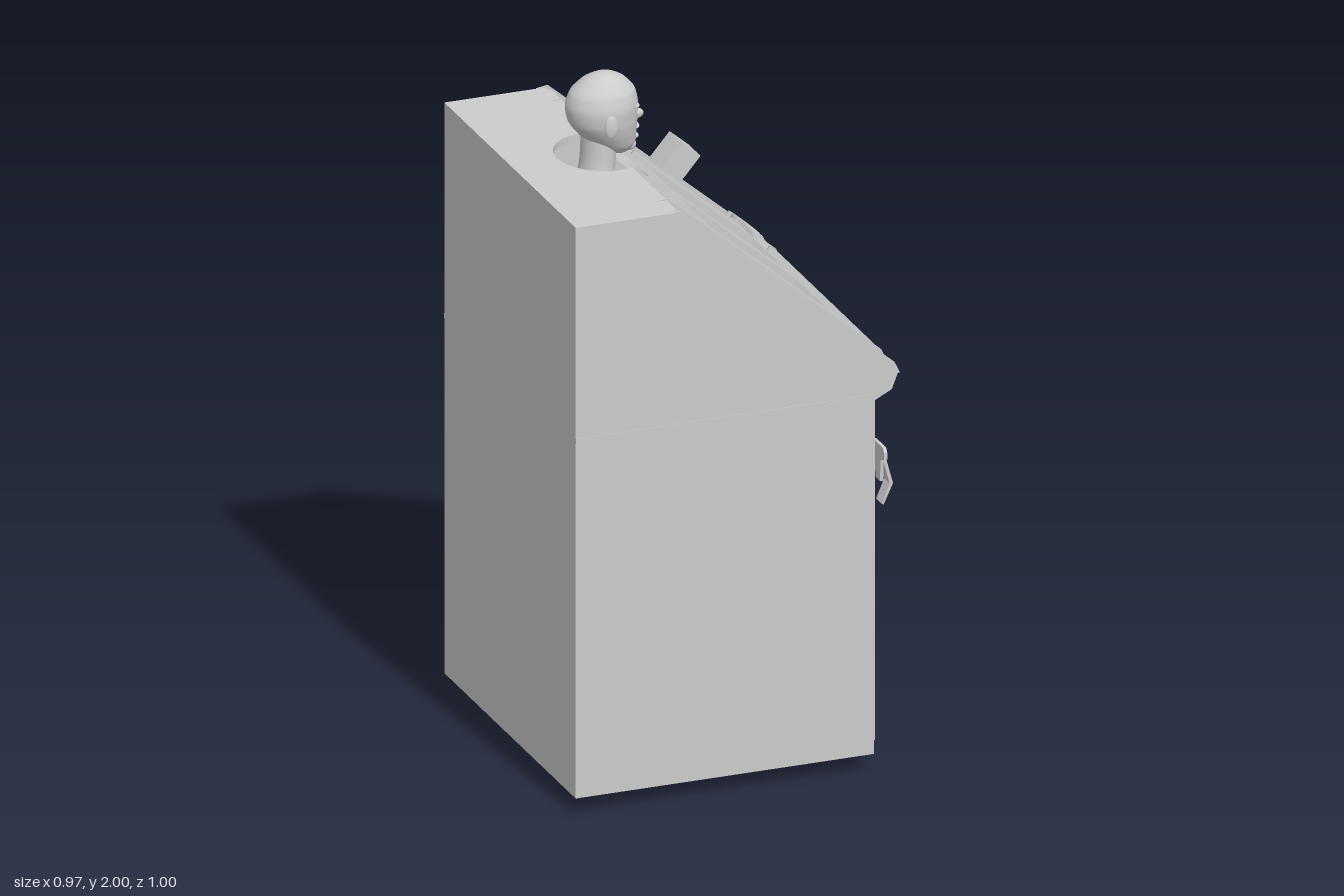
import * as THREE from 'three';
import { ParametricGeometry } from 'three/addons/geometries/ParametricGeometry.js';

const grey = new THREE.MeshStandardMaterial({ color: 0xcccccc, side: THREE.DoubleSide });
const V2 = (p) => new THREE.Vector2(p[0], p[1]);

function add(parent, name, geometry, x = 0, y = 0, z = 0) {
  const mesh = new THREE.Mesh(geometry, grey);
  mesh.name = name;
  mesh.position.set(x, y, z);
  parent.add(mesh);
  return mesh;
}

// Flat plate cut from an outline, with optional rectangular holes [x0, y0, x1, y1]
function plate(points, depth, holes = []) {
  const shape = new THREE.Shape(points.map(V2));
  for (const [a, b, c, d] of holes) {
    shape.holes.push(new THREE.Path([[a, b], [a, d], [c, d], [c, b]].map(V2)));
  }
  return new THREE.ExtrudeGeometry(shape, { depth, bevelEnabled: false });
}
const rect = (a, b, c, d) => [[a, b], [c, b], [c, d], [a, d]];
const box = (x, y, z) => new THREE.BoxGeometry(x, y, z);

// Smooth upright form through rings [y, centre x, radius x, radius z, centre z]
function loft(rings, slices = 32, stacks = 40) {
  const centre = new THREE.CatmullRomCurve3(rings.map((r) => new THREE.Vector3(r[1], r[0], r[4] || 0)));
  const radius = new THREE.CatmullRomCurve3(rings.map((r) => new THREE.Vector3(r[2], r[3], 0)));
  return new ParametricGeometry((u, v, out) => {
    const c = centre.getPoint(v), r = radius.getPoint(v), a = u * Math.PI * 2;
    out.set(c.x + Math.max(r.x, 0) * Math.cos(a), c.y, c.z - Math.max(r.y, 0) * Math.sin(a));
  }, slices, stacks);
}

function ball(parent, name, pos, size) {
  const mesh = add(parent, name, new THREE.SphereGeometry(1, 20, 14), ...pos);
  mesh.scale.set(...size);
  return mesh;
}

// Leaf-shaped strap hinge with a curled cross piece, pointing along -x
function hinge(parent, name) {
  const g = new THREE.Group();
  g.name = name;
  const s = new THREE.Shape();
  s.moveTo(-0.23, 0);
  s.quadraticCurveTo(-0.26, 0.026, -0.3, 0.026);
  s.lineTo(-0.425, 0.014);
  s.quadraticCurveTo(-0.43, 0.04, -0.405, 0.055);
  s.quadraticCurveTo(-0.44, 0.068, -0.46, 0.02);
  s.lineTo(-0.46, -0.02);
  s.quadraticCurveTo(-0.44, -0.068, -0.405, -0.055);
  s.quadraticCurveTo(-0.43, -0.04, -0.425, -0.014);
  s.lineTo(-0.3, -0.026);
  s.quadraticCurveTo(-0.26, -0.026, -0.23, 0);
  const m = add(g, 'hingeStrap', new THREE.ExtrudeGeometry(s, { depth: 0.012, bevelEnabled: false, curveSegments: 6 }));
  m.rotation.y = 0;
  m.scale.x = -1;
  parent.add(g);
  return g;
}

function buildCabinet(root) {
  const cabinet = new THREE.Group();
  cabinet.name = 'cabinet';
  root.add(cabinet);

  // Walls and floor
  const side = [[-0.49, 0.05], [0.4, 0.05], [0.4, 1.2], [-0.204, 1.76], [-0.49, 1.76]];
  for (const z of [0.475, -0.495]) add(cabinet, 'sideWall', plate(side, 0.02), 0, 0, z);
  for (const z of [0.495, -0.495]) add(cabinet, 'sideSeam', box(0.889, 0.016, 0.004), -0.0455, 1.12, z);
  add(cabinet, 'backWall', box(0.02, 1.71, 0.95), -0.48, 0.905, 0);
  add(cabinet, 'frontWall', box(0.02, 1.06, 0.99), 0.39, 0.58, 0);
  add(cabinet, 'floor', box(0.88, 0.02, 0.96), -0.045, 0.06, 0);

  // Neck opening, shared by the top plate and the lid
  const arc = (from, to) => Array.from({ length: 25 }, (_, i) => {
    const a = from + (to - from) * i / 24;
    return [-0.22 + 0.13 * Math.cos(a), 0.145 * Math.sin(a)];
  });
  const edge = Math.acos(0.04 / 0.13);
  const top = add(cabinet, 'topPlate', plate(
    [[-0.18, -0.475], ...arc(-edge, edge - Math.PI * 2), [-0.18, 0.475], [-0.49, 0.475], [-0.49, -0.475]], 0.02), 0, 1.74);
  top.rotation.x = -Math.PI / 2;

  // Sloping lid: local x runs down the slope, local y towards -z, local z outwards
  const down = new THREE.Vector3(0.6, -0.514, 0).normalize();
  const out = new THREE.Vector3(-down.y, down.x, 0);
  const lid = new THREE.Group();
  lid.name = 'lid';
  lid.quaternion.setFromRotationMatrix(new THREE.Matrix4().makeBasis(down, new THREE.Vector3(0, 0, -1), out));
  lid.position.set(-0.18, 1.76, 0);
  cabinet.add(lid);
  const notch = arc(edge, -edge).map(([x, z]) => [(x + 0.18) / down.x, z]);
  add(lid, 'lidPanel', plate(
    [[0, 0.385], ...notch, [0, -0.39], [0.85, -0.39], [0.85, 0.385]], 0.025,
    [[0.237, -0.28, 0.698, -0.04], [0.237, 0.04, 0.698, 0.28]]), 0, 0, -0.025);
  add(lid, 'latchBlock', box(0.075, 0.09, 0.1), 0.425, 0.435, 0.045);
  for (const s of [0.185, 0.72]) {
    const h = hinge(lid, 'lidHinge');
    h.rotation.z = Math.PI / 2;
    h.position.set(s, 0, 0);
  }

  // Side rails and the front lip below the lid
  const lip = [[0.415, 1.25], [0.479, 1.183], [0.458, 1.135], [0.4, 1.108], [0.38, 1.2]];
  add(cabinet, 'frontLip', plate(lip, 0.78), 0, 0, -0.39);
  const rail = [[-0.215, 1.76], [-0.19, 1.76], [0.46, 1.203], [0.472, 1.183], [0.453, 1.135], [0.4, 1.108], [0.38, 1.2]];
  for (const z of [0.4, -0.495]) add(cabinet, 'sideRail', plate(rail, 0.095), 0, 0, z);
  for (const z of [0.396, 0.496, -0.396, -0.496]) {
    add(cabinet, 'railEdge', plate([[-0.215, 1.76], [-0.18, 1.765], [0.46, 1.217], [0.476, 1.183], [0.38, 1.18]], 0.006), 0, 0, z - 0.003);
  }

  // Door: local x runs towards -z, local z outwards
  const door = new THREE.Group();
  door.name = 'door';
  door.rotation.y = Math.PI / 2;
  door.position.x = 0.4;
  cabinet.add(door);
  add(door, 'doorLeaf', plate(rect(-0.4, 0.05, 0.398, 1.105), 0.04,
    [[-0.33, 0.18, -0.11, 1.0], [0.11, 0.18, 0.33, 1.0]]));
  add(door, 'hingePost', plate(rect(0.402, 0.05, 0.495, 1.105), 0.04));
  for (const y of [1.02, 0.175]) hinge(door, 'doorHinge').position.set(0, y, 0.038);

  // Bent door handle
  add(door, 'handlePlate', plate(
    [[-0.47, 0.935], [-0.46, 0.948], [-0.385, 0.948], [-0.373, 0.935], [-0.373, 0.915], [-0.4, 0.905],
      [-0.405, 0.84], [-0.44, 0.84], [-0.443, 0.905], [-0.47, 0.915]], 0.01), 0, 0, 0.04);
  const grip = add(door, 'handleGrip', plate(
    [[0.045, 0.915], [0.055, 0.915], [0.078, 0.83], [0.05, 0.77], [0.044, 0.773], [0.068, 0.83]], 0.042), -0.443, 0, 0);
  grip.rotation.y = -Math.PI / 2;
  grip.position.x = -0.4;
}

function buildPerson(root) {
  const person = new THREE.Group();
  person.name = 'person';
  root.add(person);

  // Head, face and torso
  add(person, 'head', loft([
    [1.752, -0.168, 0, 0], [1.76, -0.17, 0.03, 0.03], [1.785, -0.182, 0.062, 0.055], [1.82, -0.2, 0.083, 0.073],
    [1.86, -0.214, 0.099, 0.086], [1.9, -0.217, 0.104, 0.089], [1.945, -0.215, 0.094, 0.078],
    [1.98, -0.212, 0.06, 0.05], [1.995, -0.21, 0.028, 0.024], [2.0, -0.21, 0, 0]]));
  ball(person, 'nose', [-0.117, 1.86, 0], [0.025, 0.016, 0.014]);
  ball(person, 'noseBridge', [-0.122, 1.883, 0], [0.014, 0.032, 0.01]);
  ball(person, 'upperLip', [-0.128, 1.83, 0], [0.02, 0.008, 0.035]);
  ball(person, 'lowerLip', [-0.13, 1.798, 0], [0.022, 0.008, 0.026]);
  ball(person, 'chin', [-0.14, 1.773, 0], [0.025, 0.018, 0.025]);
  add(person, 'torso', loft([
    [0.88, -0.22, 0, 0], [0.92, -0.22, 0.08, 0.12], [1.02, -0.22, 0.105, 0.16], [1.15, -0.22, 0.095, 0.145],
    [1.28, -0.22, 0.08, 0.115], [1.4, -0.22, 0.088, 0.125], [1.5, -0.225, 0.095, 0.145], [1.59, -0.232, 0.075, 0.15],
    [1.645, -0.235, 0.06, 0.09], [1.69, -0.235, 0.052, 0.06], [1.75, -0.228, 0.05, 0.054], [1.84, -0.225, 0.05, 0.052]]));

  // Paired parts, mirrored across the body
  for (const s of [1, -1]) {
    const half = new THREE.Group();
    half.name = s > 0 ? 'bodySide' : 'bodySideMirrored';
    half.scale.z = s;
    person.add(half);
    ball(half, 'ear', [-0.222, 1.865, 0.087], [0.02, 0.035, 0.009]);
    ball(half, 'eye', [-0.137, 1.88, 0.035], [0.014, 0.01, 0.017]);
    ball(half, 'brow', [-0.134, 1.903, 0.035], [0.014, 0.006, 0.024]);
    ball(half, 'breast', [-0.155, 1.46, 0.07], [0.06, 0.06, 0.055]);
    const arm = add(half, 'arm', loft([
      [0.09, 0, 0.05, 0.06], [0.16, 0, 0.05, 0.055], [0.24, 0, 0.042, 0.042], [0.34, 0, 0.036, 0.038],
      [0.44, 0, 0.032, 0.032], [0.465, 0, 0, 0]], 20, 16), -0.23, 1.54, 0);
    arm.rotation.x = Math.PI / 2;
    add(half, 'leg', loft([
      [0.03, -0.25, 0.035, 0.032, 0.11], [0.12, -0.25, 0.035, 0.033, 0.11], [0.35, -0.245, 0.055, 0.05, 0.105],
      [0.5, -0.23, 0.05, 0.048, 0.1], [0.75, -0.22, 0.075, 0.07, 0.09], [0.98, -0.22, 0.09, 0.08, 0.085]], 20, 20));

    // Foot with heel, sole and toes
    const foot = new THREE.Group();
    foot.name = 'foot';
    foot.position.set(-0.25, 0, 0.105);
    foot.rotation.y = -0.1;
    half.add(foot);
    ball(foot, 'heel', [0, 0.03, 0], [0.048, 0.03, 0.036]);
    ball(foot, 'instep', [0.07, 0.033, 0.006], [0.09, 0.027, 0.036]);
    ball(foot, 'footBall', [0.135, 0.02, 0.002], [0.052, 0.02, 0.047]);
    for (let i = 0; i < 5; i++) {
      ball(foot, 'toe', [0.198 - i * 0.011, 0.014, -0.032 + i * 0.019],
        [0.026 - i * 0.002, 0.014 - i * 0.001, 0.013 - i * 0.001]);
    }
  }
}

export function createModel() {
  const model = new THREE.Group();
  model.name = 'steamCabinet';
  buildCabinet(model);
  buildPerson(model);
  return model;
}
